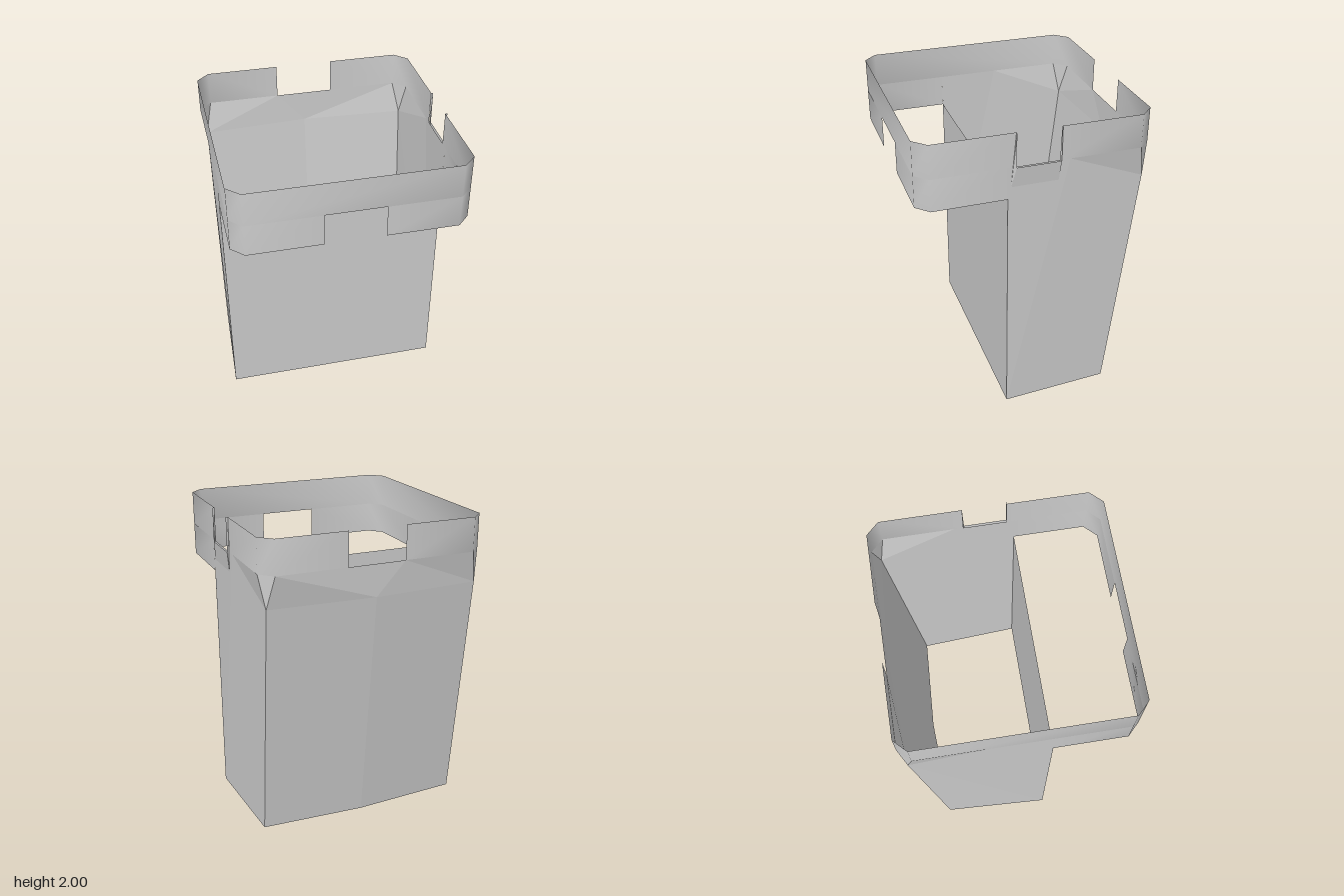
import * as THREE from 'three';
import { toCreasedNormals } from 'three/addons/utils/BufferGeometryUtils.js';

const LEFT = 0.728, RIGHT = -0.742;      // side wall planes
const BACK = -0.74, FRONT = 0.738;       // collar planes
const TOP = 2, RIM = 1.78, LOW = 1.57;   // collar top, collar bottom, skirt bottom
const C = 0.08;                          // corner size
const BODY_Z = 0.19;                     // front panel of the body
const NOTCH = 0.19, GAP = 0.14;          // half widths of the cut-outs

const flat = new THREE.MeshStandardMaterial({ color: 0xcccccc, flatShading: true, side: THREE.DoubleSide });
const smooth = new THREE.MeshStandardMaterial({ color: 0xcccccc, side: THREE.DoubleSide });

// Thin surface from polygons, each split as a fan; flip turns mirrored ones outward
function sheet(name, polygons, flip = false) {
  const pos = [];
  for (const p of polygons) {
    for (let i = 1; i < p.length - 1; i++) {
      const tri = flip ? [p[0], p[i + 1], p[i]] : [p[0], p[i], p[i + 1]];
      pos.push(...tri.flat());
    }
  }
  const g = new THREE.BufferGeometry();
  g.setAttribute('position', new THREE.Float32BufferAttribute(pos, 3));
  g.computeVertexNormals();
  const mesh = new THREE.Mesh(g, flat);
  mesh.name = name;
  return mesh;
}

// Upright wall along a path of [x, z] points, rounded by its normals at the corners
function wall(name, path, y0, y1) {
  const pos = [], index = [];
  path.forEach(([x, z], i) => {
    pos.push(x, y0, z, x, y1, z);
    const a = 2 * i;
    if (i) index.push(a - 2, a, a + 1, a - 2, a + 1, a - 1);
  });
  const g = new THREE.BufferGeometry();
  g.setAttribute('position', new THREE.Float32BufferAttribute(pos, 3));
  g.setIndex(index);
  const mesh = new THREE.Mesh(toCreasedNormals(g, 0.9), smooth);
  mesh.name = name;
  return mesh;
}

export function createModel() {
  const model = new THREE.Group();
  model.name = 'openBin';

  // Chamfered corners of the collar, in order counter-clockwise from above
  const frontRight = [[RIGHT, FRONT - C], [RIGHT + C, FRONT]];
  const frontLeft = [[LEFT - C, FRONT], [LEFT, FRONT - C]];
  const backLeft = [[LEFT, BACK + C], [LEFT - C, BACK]];
  const backRight = [[RIGHT + C, BACK], [RIGHT, BACK + C]];

  // Collar, open at the back notch and at the left gap
  model.add(
    wall('collarMain', [[-NOTCH, BACK], ...backRight, ...frontRight, ...frontLeft, [LEFT, GAP]], RIM, TOP),
    wall('collarBackLeft', [[LEFT, -GAP], ...backLeft, [NOTCH, BACK]], RIM, TOP),
  );

  // Skirt below the collar, open in the middle of the front
  model.add(
    wall('skirtRight', [[RIGHT, BODY_Z], ...frontRight, [-NOTCH, FRONT]], LOW, RIM),
    wall('skirtLeft', [[NOTCH, FRONT], ...frontLeft, [LEFT, BODY_Z]], LOW, RIM),
  );

  // Body front panel
  model.add(sheet('frontPanel', [[
    [-0.735, 0, BODY_Z], [0.725, 0, BODY_Z], [LEFT, LOW, BODY_Z], [RIGHT, LOW, BODY_Z],
  ]]));

  // Body sides and faceted back halves, tapering to the base
  const backMid = [0, LOW, -0.737], baseMid = [0, 0, -0.563];
  for (const s of [-1, 1]) {
    const x = s > 0 ? LEFT : RIGHT, side = s > 0 ? 'left' : 'right';
    const baseFront = [s > 0 ? 0.725 : -0.735, 0, BODY_Z];
    const baseBack = [x - s * 0.045, 0, -0.525];
    const corner = [x - s * 0.035, LOW, -0.698];
    const rimFold = [x, RIM, -0.2];
    const rimSide = [x, RIM, BACK + C];
    const rimBack = [x - s * C, RIM, BACK];
    const notch = [s * NOTCH, RIM, BACK];

    model.add(sheet(side + 'Side', [
      [baseFront, rimFold, [x, RIM, BODY_Z]],
      [baseFront, corner, rimFold],
      [baseFront, baseBack, corner],
      [rimFold, corner, rimSide],
      [corner, rimBack, rimSide],
    ], s < 0));

    const shoulder = s > 0
      ? [[corner, backMid, rimBack], [backMid, notch, rimBack]]
      : [[corner, notch, rimBack], [corner, backMid, notch]];
    model.add(sheet(side + 'Back', [[baseBack, baseMid, backMid, corner], ...shoulder], s < 0));
  }
  model.add(sheet('backNotchSill', [[backMid, [-NOTCH, RIM, BACK], [NOTCH, RIM, BACK]]]));

  // Lip below the left gap, leaning outward, with narrow returns at the gap edges
  const lip = 0.742;
  model.add(sheet('gapLip', [
    [[LEFT, 1.65, 0.17], [LEFT, 1.65, -0.13], [lip, RIM, -GAP], [lip, RIM, GAP]],
    [[LEFT, 1.65, 0.17], [lip, RIM, GAP], [lip, TOP, GAP], [LEFT, TOP, GAP]],
    [[LEFT, 1.65, -0.13], [LEFT, TOP, -GAP], [lip, TOP, -GAP], [lip, RIM, -GAP]],
  ]));

  return model;
}
